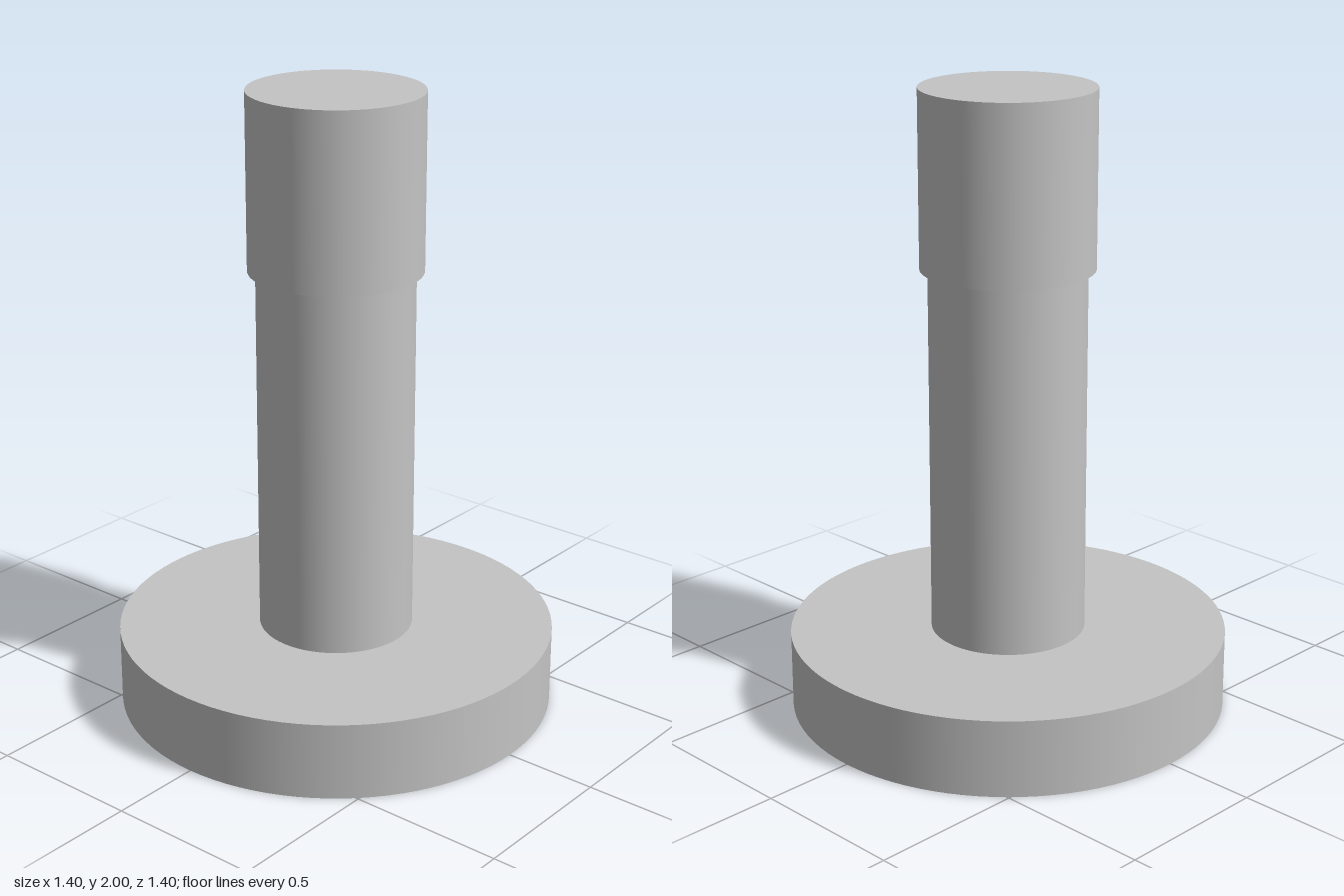
import * as THREE from 'three';

export function createModel() {
  const group = new THREE.Group();
  group.name = 'flangedPost';
  const grey = new THREE.MeshStandardMaterial({ color: 0xc4c4c4 });
  grey.name = 'plain grey';

  // Upright cylinder between two heights
  function addCylinder(name, radius, bottom, top, openEnded = false) {
    const geometry = new THREE.CylinderGeometry(radius, radius, top - bottom, 96, 1, openEnded);
    const mesh = new THREE.Mesh(geometry, grey);
    mesh.name = name;
    mesh.position.y = (bottom + top) / 2;
    group.add(mesh);
  }

  addCylinder('base', 0.702, 0, 0.25);
  addCylinder('shaft', 0.248, 0.25, 1.44, true); // ends are closed by base and head
  addCylinder('head', 0.273, 1.44, 2);

  return group;
}
